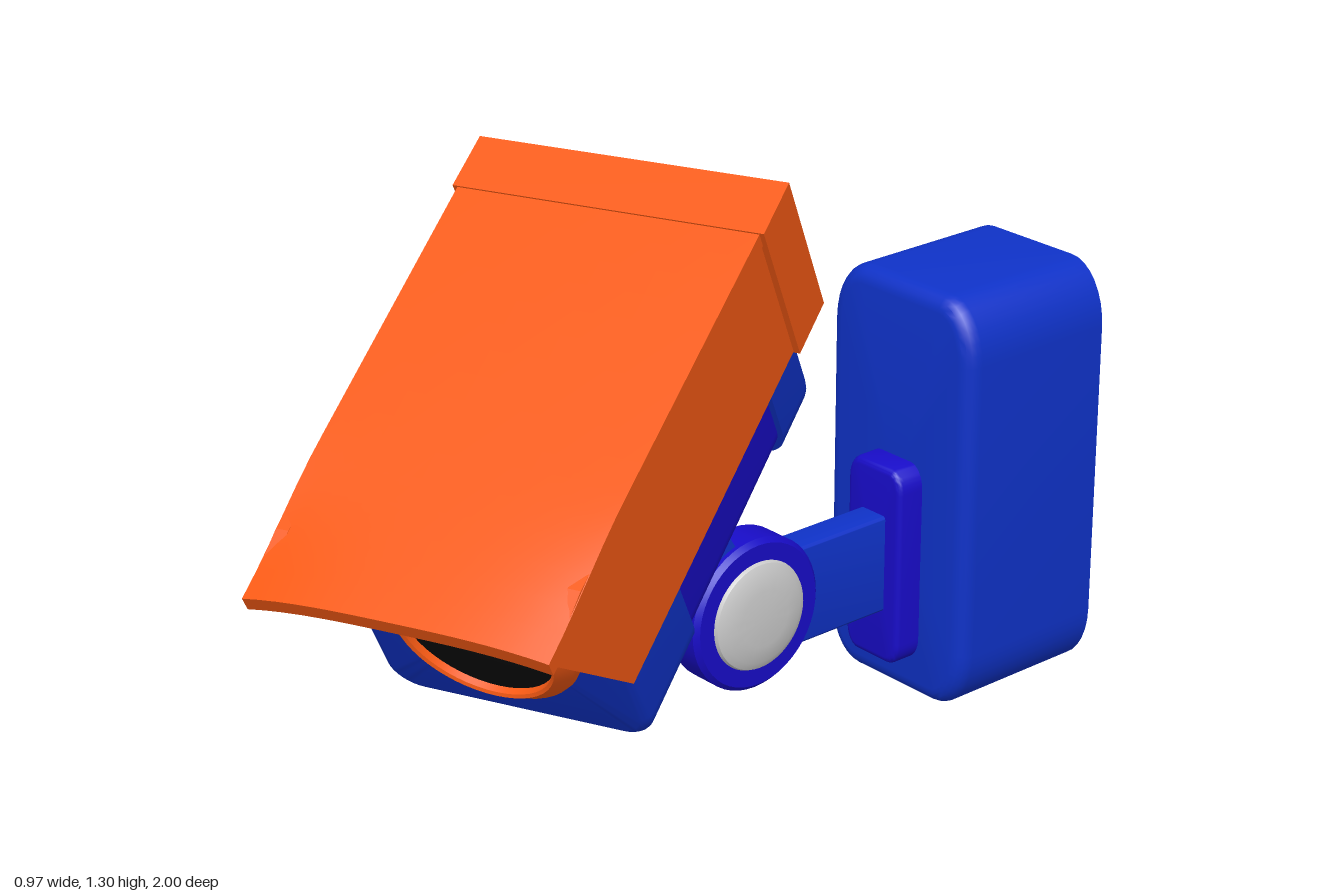
import * as THREE from 'three';
import { toCreasedNormals } from 'three/addons/utils/BufferGeometryUtils.js';

const mat = (color) => new THREE.MeshStandardMaterial({ color });
const ORANGE = mat(0xf85a14), BLUE = mat(0x0f32c8), INDIGO = mat(0x180cc8);
const BLACK = mat(0x0c0c0c), GREY = mat(0xcccccc);

function add(parent, name, geo, material, x = 0, y = 0, z = 0) {
  const m = new THREE.Mesh(geo, material);
  m.name = name;
  m.position.set(x, y, z);
  parent.add(m);
  return m;
}

// Rounded-rectangle outline, counter-clockwise
function outline(w, h, rx, ry, n = 8) {
  const pts = [];
  [[1, 1], [-1, 1], [-1, -1], [1, -1]].forEach(([sx, sy], q) => {
    for (let i = 0; i <= n; i++) {
      const t = (q + i / n) * Math.PI / 2;
      pts.push([sx * (w / 2 - rx) + rx * Math.cos(t), sy * (h / 2 - ry) + ry * Math.sin(t)]);
    }
  });
  return pts;
}

// Solid from z = 0 to depth, with a rounded edge of its own size at each end
function block(w, h, rx, ry, depth, back, front) {
  const sections = [], steps = 5;
  const ring = (inset, z) => sections.push(outline(w - 2 * inset, h - 2 * inset,
    Math.max(rx - inset, 0.003), Math.max(ry - inset, 0.003)).map(([x, y]) => [x, y, z]));
  for (let i = 0; i <= (back ? steps : 0); i++) {
    const t = i / steps * Math.PI / 2;
    ring(back * (1 - Math.sin(t)), back * (1 - Math.cos(t)));
  }
  for (let i = front ? 0 : steps; i <= steps; i++) {
    const t = i / steps * Math.PI / 2;
    ring(front * (1 - Math.cos(t)), depth - front * (1 - Math.sin(t)));
  }
  const n = sections[0].length, pos = sections.flat(2), idx = [];
  for (let s = 0; s < sections.length - 1; s++) {
    for (let i = 0; i < n; i++) {
      const a = s * n + i, b = s * n + (i + 1) % n;
      idx.push(a, b, b + n, a, b + n, a + n);
    }
  }
  const c = pos.length / 3, last = (sections.length - 1) * n;
  pos.push(0, 0, 0, 0, 0, depth);
  for (let i = 0; i < n; i++) {
    const j = (i + 1) % n;
    idx.push(c, j, i, c + 1, last + i, last + j);
  }
  const g = new THREE.BufferGeometry();
  g.setAttribute('position', new THREE.Float32BufferAttribute(pos, 3));
  g.setIndex(idx);
  return toCreasedNormals(g, 0.6);
}

const lathe = (pts) => toCreasedNormals(
  new THREE.LatheGeometry(pts.map(([r, y]) => new THREE.Vector2(r, y)), 48), 0.6);

function buildMount(root) {
  const mount = new THREE.Group();
  mount.name = 'wallMount';
  mount.position.x = -0.175;
  root.add(mount);
  add(mount, 'wallBox', block(0.4, 0.885, 0.09, 0.13, 0.37, 0, 0.035), BLUE, 0, 0.4425, -1);
  add(mount, 'wallPlate', block(0.155, 0.43, 0.035, 0.05, 0.09, 0, 0.015), INDIGO, 0, 0.3, -0.66);
  add(mount, 'wallArm', block(0.072, 0.21, 0.008, 0.008, 0.32, 0, 0), BLUE, 0, 0.305, -0.6);

  // Pivot: disc with a domed cap on either side
  const joint = new THREE.Group();
  joint.name = 'pivotJoint';
  joint.position.set(0, 0.305, -0.225);
  joint.rotation.z = Math.PI / 2;
  mount.add(joint);
  add(joint, 'pivotDisc', lathe([[0, -0.045], [0.15, -0.045], [0.16, -0.035], [0.16, 0.035],
    [0.15, 0.045], [0, 0.045]]), INDIGO);
  add(joint, 'pivotCaps', lathe([[0, -0.067], [0.06, -0.065], [0.095, -0.06], [0.111, -0.052], [0.117, -0.04],
    [0.117, 0.04], [0.111, 0.052], [0.095, 0.06], [0.06, 0.065], [0, 0.067]]), GREY);

  // Leaning arm up to the camera
  const arm = add(mount, 'tiltArm', new THREE.BoxGeometry(0.065, 0.38, 0.09), BLUE, -0.008, 0.465, -0.125);
  arm.rotation.set(0.54, 0, 0.04);
}

function buildHood(head) {
  // Rear collar
  add(head, 'hoodCollar', new THREE.BoxGeometry(0.614, 0.323, 0.122), ORANGE, 0, -0.1615, 0.061);

  // Roof: tapers slightly and droops at its front corners
  const z0 = 0.12, z1 = 1.04, thick = 0.03;
  const roof = new THREE.BoxGeometry(2, thick, 1, 16, 1, 16);
  const p = roof.attributes.position;
  for (let i = 0; i < p.count; i++) {
    const a = p.getX(i), t = p.getZ(i) + 0.5;
    const droop = 0.024 * THREE.MathUtils.smoothstep(t, 0.65, 1) * Math.abs(a) ** 3;
    p.setXYZ(i, a * (0.298 - 0.01 * t), p.getY(i) - thick / 2 - 0.003 + 0.004 * t - droop,
      z0 + (z1 - z0) * t);
  }
  add(head, 'hoodRoof', toCreasedNormals(roof, 0.6), ORANGE);

  // Side walls with a raked front edge
  const side = new THREE.Shape([[0.12, -0.32], [0.865, -0.324], [1.035, -0.032], [0.9, -0.01], [0.12, -0.01]]
    .map(([z, y]) => new THREE.Vector2(-z, y)));
  const wall = new THREE.ExtrudeGeometry(side, { depth: 0.024, bevelEnabled: false });
  wall.rotateY(Math.PI / 2);
  for (const s of [-1, 1]) {
    const m = add(head, s > 0 ? 'hoodLeftWall' : 'hoodRightWall', wall, ORANGE, s > 0 ? 0.272 : -0.296);
    m.rotation.y = -s * 0.009;
  }
}

function buildHead(root) {
  const head = new THREE.Group();
  head.name = 'cameraHead';
  head.position.set(-0.14, 1.3, 0.075);
  head.rotation.set(Math.PI / 6, THREE.MathUtils.degToRad(24), 0, 'YXZ');
  root.add(head);
  buildHood(head);

  // Body: two end shells around a slightly inset middle band
  const h = 0.52, y = -0.03 - h / 2;
  add(head, 'bodyRear', block(0.53, h, 0.065, 0.065, 0.145, 0.035, 0), BLUE, 0, y, 0.045);
  add(head, 'bodyBand', block(0.508, h - 0.022, 0.06, 0.06, 0.46, 0, 0), INDIGO, 0, y, 0.18);
  add(head, 'bodyFront', block(0.53, h, 0.065, 0.065, 0.21, 0, 0.02), BLUE, 0, y, 0.63);

  // Lens
  const lens = new THREE.Group();
  lens.name = 'lens';
  lens.position.set(0, -0.283, 0);
  lens.rotation.x = Math.PI / 2;
  head.add(lens);
  add(lens, 'lensRing', lathe([[0.184, 0.8], [0.184, 0.852], [0.178, 0.864], [0.15, 0.884],
    [0.144, 0.88], [0.144, 0.82]]), ORANGE);
  add(lens, 'lensGlass', lathe([[0.146, 0.866], [0.1, 0.872], [0.05, 0.875], [0, 0.876]]), BLACK);

  // Bracket under the body
  const under = (name, w, len, depth, material, yTop, zMid) => {
    add(head, name, block(w, len, 0.012, 0.012, depth, 0, 0.008), material, 0, yTop, zMid)
      .rotation.x = Math.PI / 2;
  };
  under('bracketPlate', 0.17, 0.41, 0.115, INDIGO, -0.53, 0.275);
  under('bracketFoot', 0.11, 0.2, 0.05, GREY, -0.63, 0.22);
}

export function createModel() {
  const root = new THREE.Group();
  root.name = 'securityCamera';
  buildMount(root);
  buildHead(root);
  return root;
}
